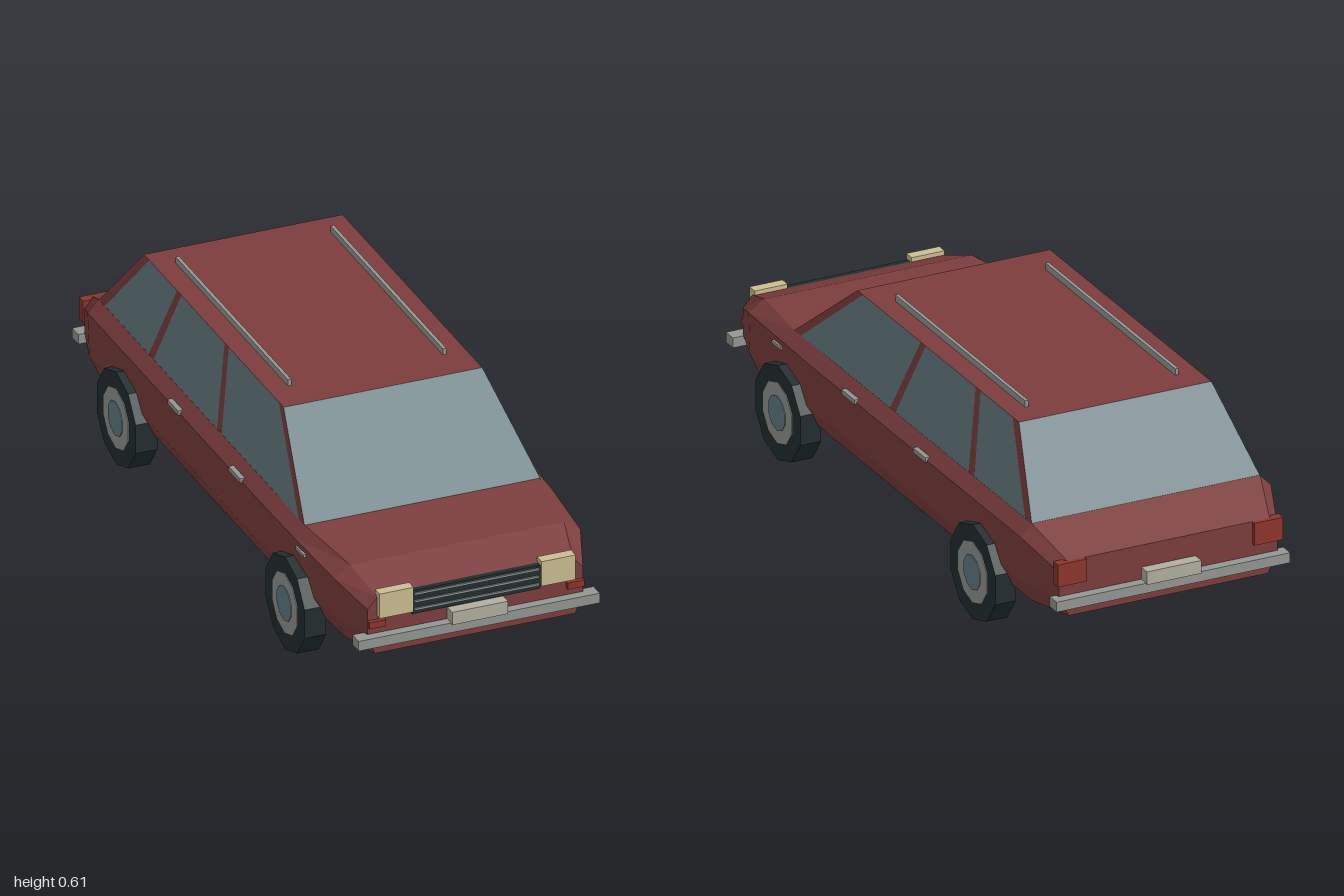
import * as THREE from 'three';

const mat = (name, color) => {
  const m = new THREE.MeshStandardMaterial({ color });
  m.name = name;
  m.flatShading = true;
  return m;
};

export function createModel() {
  const paint = mat('red paint', 0x7c3d3d);
  const glass = mat('glass', 0x657b81);
  const dark = mat('dark rubber', 0x222e30);
  const chrome = mat('chrome', 0x939792);
  const cream = mat('headlight cream', 0xcbbd92);
  const lamp = mat('lamp red', 0x8c352c);
  const plateMat = mat('plate', 0xb2afa0);
  const hubMat = mat('hub blue grey', 0x657d88);

  const car = new THREE.Group();
  car.name = 'car';

  const add = (name, geo, material, x = 0, y = 0, z = 0, parent = car) => {
    const m = new THREE.Mesh(geo, material);
    m.name = name;
    m.position.set(x, y, z);
    parent.add(m);
    return m;
  };
  // Box given by its extents
  const box = (name, material, x0, x1, y0, y1, z0, z1) =>
    add(name, new THREE.BoxGeometry(x1 - x0, y1 - y0, z1 - z0), material,
      (x0 + x1) / 2, (y0 + y1) / 2, (z0 + z1) / 2);
  // Same box on both sides of the car
  const pair = (name, material, x0, x1, ...rest) => {
    box('left ' + name, material, x0, x1, ...rest);
    box('right ' + name, material, -x1, -x0, ...rest);
  };
  // Mesh from flat convex faces, each a counter-clockwise list of points
  const faces = (name, material, list) => {
    const pos = [];
    for (const f of list)
      for (let i = 1; i < f.length - 1; i++) pos.push(...f[0], ...f[i], ...f[i + 1]);
    const g = new THREE.BufferGeometry();
    g.setAttribute('position', new THREE.Float32BufferAttribute(pos, 3));
    g.computeVertexNormals();
    return add(name, g, material);
  };

  // Lower body: sections from back to front
  // [z, half widths at sill, lower side, shoulder, top, then shoulder y, top y]
  const sections = [
    [-0.965, 0.305, 0.335, 0.335, 0.31, 0.275, 0.305],
    [-0.83, 0.35, 0.378, 0.383, 0.35, 0.335, 0.37],
    [0.40, 0.35, 0.378, 0.383, 0.35, 0.335, 0.37],
    [0.60, 0.347, 0.375, 0.38, 0.348, 0.335, 0.367],
    [0.84, 0.335, 0.362, 0.366, 0.318, 0.325, 0.357],
    [0.965, 0.298, 0.32, 0.32, 0.29, 0.28, 0.312],
  ].map(([z, a, b, c, d, ys, yt]) => {
    const half = [[a, 0.14], [b, 0.2], [c, ys], [d, yt]];
    return [...half.map(([x, y]) => [x, y, z]),
      ...half.reverse().map(([x, y]) => [-x, y, z])];
  });
  const shell = [[...sections[0]].reverse(), sections.at(-1)];
  const floor = [];
  for (let s = 0; s < sections.length - 1; s++) {
    const B = sections[s], F = sections[s + 1];
    for (let i = 0; i < 8; i++) {
      const j = (i + 1) % 8;
      (i === 7 ? floor : shell).push([F[i], B[i], B[j], F[j]]);
    }
  }
  faces('lower body', paint, shell);
  faces('underside', dark, floor);

  // Cabin: roof, screens and side strips that alternate pillar and window
  const yb = 0.368, yt = 0.588, wb = 0.35, wt = 0.295;
  const zf = [0.598, 0.325], zr = [-0.83, -0.645];
  const low = (s, z) => [s * wb, yb, z], top = (s, z) => [s * wt, yt, z];
  faces('roof', paint, [[top(-1, zf[1]), top(1, zf[1]), top(1, zr[1]), top(-1, zr[1])]]);
  faces('windscreen', glass, [[low(-1, zf[0]), low(1, zf[0]), top(1, zf[1]), top(-1, zf[1])]]);
  faces('rear window', glass, [[low(1, zr[0]), low(-1, zr[0]), top(-1, zr[1]), top(1, zr[1])]]);
  const cuts = [zf, [0.558, 0.292], [0.023, -0.055], [-0.01, -0.085],
    [-0.45, -0.385], [-0.485, -0.415], [-0.79, -0.607], zr];
  const pillars = [], windows = [];
  for (let i = 0; i < cuts.length - 1; i++) {
    const [f, r] = [cuts[i], cuts[i + 1]];
    for (const s of [1, -1]) {
      const q = [low(s, f[0]), low(s, r[0]), top(s, r[1]), top(s, f[1])];
      (i % 2 ? windows : pillars).push(s > 0 ? q : q.reverse());
    }
  }
  faces('pillars', paint, pillars);
  faces('side windows', glass, windows);

  // Roof rails, door handles and wing markers
  pair('roof rail', chrome, 0.225, 0.235, 0.588, 0.607, -0.565, 0.215);
  pair('front door handle', chrome, 0.37, 0.388, 0.331, 0.345, 0.16, 0.24);
  pair('rear door handle', chrome, 0.37, 0.388, 0.331, 0.345, -0.265, -0.19);
  pair('wing marker', chrome, 0.37, 0.383, 0.308, 0.318, 0.612, 0.668);

  // Nose
  pair('headlight', cream, 0.19, 0.291, 0.254, 0.33, 0.95, 0.982);
  pair('front indicator', lamp, 0.27, 0.319, 0.225, 0.245, 0.955, 0.978);
  box('grille', dark, -0.19, 0.19, 0.243, 0.315, 0.95, 0.973);
  for (const y of [0.258, 0.282, 0.305])
    box('grille slat', chrome, -0.185, 0.185, y - 0.003, y + 0.003, 0.97, 0.978);
  box('front bumper', chrome, -0.358, 0.358, 0.173, 0.203, 0.95, 0.993);
  box('front plate', plateMat, -0.083, 0.083, 0.2, 0.239, 0.96, 1.0);

  // Tail
  pair('tail light', lamp, 0.257, 0.345, 0.238, 0.305, -0.978, -0.95);
  box('rear bumper', chrome, -0.358, 0.358, 0.173, 0.203, -0.995, -0.953);
  box('rear plate', plateMat, -0.083, 0.083, 0.2, 0.239, -1.0, -0.96);

  // Wheels: ten-sided tyre, rim and hub cap
  const disc = (r, w) => new THREE.CylinderGeometry(r, r, w, 10)
    .rotateY(Math.PI / 2).rotateZ(-Math.PI / 2);
  for (const s of [1, -1])
    for (const z of [0.59, -0.582]) {
      const wheel = new THREE.Group();
      wheel.name = (s > 0 ? 'left ' : 'right ') + (z > 0 ? 'front wheel' : 'rear wheel');
      wheel.position.set(s * 0.372, 0.135, z);
      add('tyre', disc(0.142, 0.064), dark, 0, 0, 0, wheel);
      add('rim', disc(0.092, 0.006), chrome, s * 0.031, 0, 0, wheel);
      add('hub cap', disc(0.052, 0.006), hubMat, s * 0.033, 0, 0, wheel);
      car.add(wheel);
    }
  return car;
}
